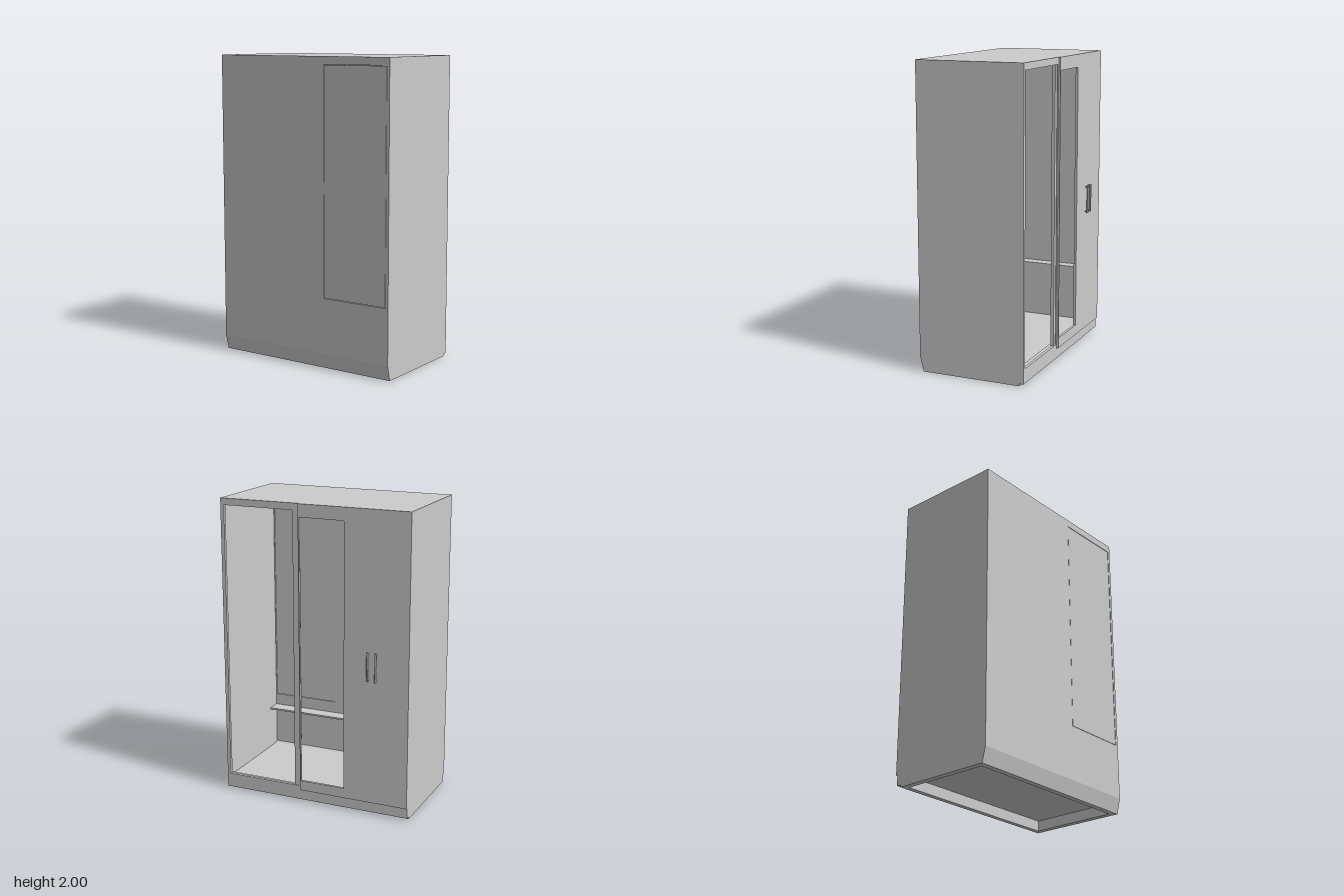
import * as THREE from 'three';

export function createModel() {
  const model = new THREE.Group();
  const mat = new THREE.MeshStandardMaterial({ color: 0xcccccc, side: THREE.DoubleSide });

  const add = (name, geo, parent = model) => {
    const mesh = new THREE.Mesh(geo, mat);
    mesh.name = name;
    parent.add(mesh);
    return mesh;
  };
  // box given by its limits on each axis
  const box = (name, [x0, x1], [y0, y1], [z0, z1], parent) =>
    add(name, new THREE.BoxGeometry(x1 - x0, y1 - y0, z1 - z0), parent)
      .position.set((x0 + x1) / 2, (y0 + y1) / 2, (z0 + z1) / 2);
  // x-y outline carried along z
  const prism = (name, pts, z0, z1) => {
    const shape = new THREE.Shape(pts.map(p => new THREE.Vector2(...p)));
    const geo = new THREE.ExtrudeGeometry(shape, { depth: z1 - z0, bevelEnabled: false });
    add(name, geo.translate(0, 0, z0));
  };
  // upright sheet in the z-y plane with one rectangular hole
  const rect = (path, [z0, z1], [y0, y1]) =>
    path.moveTo(-z1, y0).lineTo(-z0, y0).lineTo(-z0, y1).lineTo(-z1, y1).closePath();
  const sheet = (name, x0, x1, z, y, holeZ, holeY) => {
    const shape = rect(new THREE.Shape(), z, y);
    shape.holes.push(rect(new THREE.Path(), holeZ, holeY));
    const geo = new THREE.ExtrudeGeometry(shape, { depth: x1 - x0, bevelEnabled: false });
    add(name, geo.rotateY(Math.PI / 2).translate(x0, 0, 0));
  };

  // side walls with a chamfered back foot and a small toe notch
  const side = [[-0.355, 0], [0.315, 0], [0.315, 0.015], [0.345, 0.015],
    [0.345, 2], [-0.38, 2], [-0.38, 0.1]];
  prism('leftWall', side, 0.64, 0.655);
  prism('rightWall', side, -0.655, -0.64);

  // roof, floor and the rim under the floor
  box('roof', [-0.38, 0.345], [1.985, 2], [-0.64, 0.64]);
  box('floor', [-0.366, 0.34], [0.07, 0.09], [-0.64, 0.64]);
  prism('backSkirt', [[-0.355, 0], [-0.315, 0], [-0.315, 0.07], [-0.365, 0.1], [-0.38, 0.1]], -0.64, 0.64);
  prism('plinth', [[0.28, 0], [0.315, 0], [0.315, 0.015], [0.345, 0.015], [0.345, 0.08], [0.28, 0.08]], -0.64, 0.64);
  for (const s of [-1, 1])
    box('underRim', [-0.34, 0.3], [0, 0.07], s < 0 ? [-0.64, -0.615] : [0.615, 0.64]);

  // back wall with a close-fitting inset panel
  sheet('backWall', -0.38, -0.366, [-0.64, 0.64], [0.1, 1.985], [0.17, 0.635], [0.465, 1.95]);
  box('backPanel', [-0.379, -0.367], [0.468, 1.947], [0.173, 0.632]);

  // interior bench and narrow back shelf
  box('bench', [-0.366, 0.34], [0.09, 0.47], [-0.64, -0.56]);
  box('backShelf', [-0.366, -0.27], [0.374, 0.386], [-0.56, 0.64]);

  // open front bay: frame, tracks and stile
  sheet('doorFrame', 0.325, 0.345, [0.1, 0.64], [0.08, 1.985], [0.115, 0.63], [0.11, 1.955]);
  box('stile', [0.318, 0.34], [0.11, 1.955], [0.115, 0.145]);
  box('topTrack', [0.29, 0.325], [1.965, 1.985], [-0.64, 0.64]);
  box('bottomTrack', [0.29, 0.325], [0.09, 0.1], [-0.56, 0.64]);

  // proud front panel with its tall opening
  sheet('frontPanel', 0.34, 0.357, [-0.655, 0.1], [0.085, 2], [-0.215, 0.093], [0.152, 1.915]);

  // pair of bar handles
  for (const z of [-0.382, -0.437]) {
    const handle = new THREE.Group();
    handle.name = 'handle';
    add('bar', new THREE.CylinderGeometry(0.006, 0.006, 0.19, 12), handle).position.set(0.373, 1.005, z);
    for (const y of [0.92, 1.09]) {
      const post = add('post', new THREE.CylinderGeometry(0.006, 0.006, 0.02, 12), handle);
      post.rotation.z = Math.PI / 2;
      post.position.set(0.364, y, z);
    }
    model.add(handle);
  }
  return model;
}
